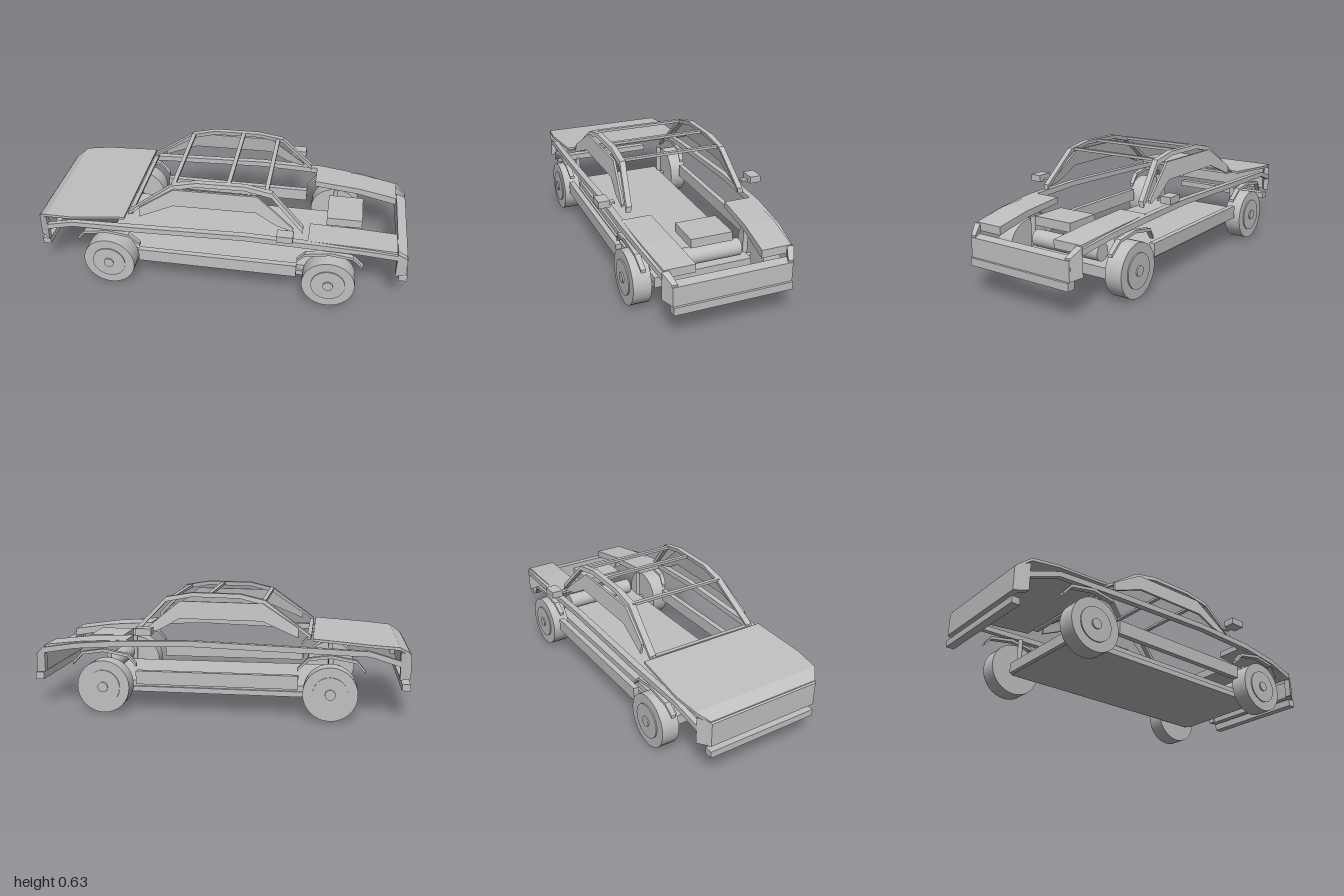
import * as THREE from 'three';

const grey = new THREE.MeshStandardMaterial({ color: 0xc0c0c0 });
grey.name = 'plain grey';

// Lofts a rectangular section along x. Station: [x, y0, y1, z0, z1]; lean tilts z inwards with height.
function loft(stations, side = 1, lean = 0) {
  const rings = stations.map(([x, y0, y1, z0, z1]) => {
    const [a, b] = side > 0 ? [z0, z1] : [-z1, -z0];
    const p = (y, z) => [x, y, z - side * lean * (y - 0.41)];
    return [p(y0, a), p(y0, b), p(y1, b), p(y1, a)];
  });
  const pos = [];
  const quad = (a, b, c, d) => pos.push(...a, ...b, ...c, ...a, ...c, ...d);
  for (let i = 0; i < rings.length - 1; i++) {
    const r = rings[i], n = rings[i + 1];
    for (let k = 0; k < 4; k++) quad(r[k], n[k], n[(k + 1) % 4], r[(k + 1) % 4]);
  }
  const [a, b, c, d] = rings[0];
  quad(a, b, c, d);
  const [e, f, g, h] = rings[rings.length - 1];
  quad(h, g, f, e);
  const geo = new THREE.BufferGeometry();
  geo.setAttribute('position', new THREE.Float32BufferAttribute(pos, 3));
  geo.computeVertexNormals();
  return geo;
}

export function createModel() {
  const car = new THREE.Group();
  car.name = 'car';
  const add = (name, geo, x = 0, y = 0, z = 0) => {
    const mesh = new THREE.Mesh(geo, grey);
    mesh.name = name;
    mesh.position.set(x, y, z);
    car.add(mesh);
    return mesh;
  };
  const box = (name, x0, x1, y0, y1, z0, z1) =>
    add(name, new THREE.BoxGeometry(x1 - x0, y1 - y0, z1 - z0), (x0 + x1) / 2, (y0 + y1) / 2, (z0 + z1) / 2);
  const rodZ = (name, r, length, x, y, z) =>
    add(name, new THREE.CylinderGeometry(r, r, length, 32).rotateX(Math.PI / 2), x, y, z);

  // Floor pan: long chassis plate and wider skirt
  box('chassisPlate', -0.65, 0.67, 0.092, 0.148, -0.265, 0.265);
  box('floorSkirt', -0.63, 0.65, 0.09, 0.118, -0.278, 0.278);

  // Engine and drive tube
  box('engine', 0.555, 0.745, 0.318, 0.365, -0.11, 0.11);
  rodZ('driveTube', 0.045, 0.42, 0.625, 0.205, 0);

  // Boot lid
  add('bootLid', loft([
    [-0.99, 0.335, 0.35, -0.31, 0.31],
    [-0.935, 0.37, 0.385, -0.355, 0.355],
    [-0.8, 0.382, 0.396, -0.37, 0.37],
    [-0.5, 0.405, 0.418, -0.355, 0.355],
  ]));

  // Nose, tail and bumpers
  add('nosePanel', loft([[0.94, 0.195, 0.292, -0.33, 0.33], [0.99, 0.186, 0.285, -0.305, 0.305]]));
  add('tailPanel', loft([[-0.998, 0.215, 0.34, -0.308, 0.308], [-0.965, 0.215, 0.36, -0.33, 0.33]]));
  box('frontBumper', 0.955, 1, 0.145, 0.185, -0.305, 0.305);
  box('rearBumper', -1, -0.957, 0.15, 0.185, -0.308, 0.308);

  // Roof cross members
  for (const [x, y] of [[-0.48, 0.41], [-0.245, 0.594], [0.043, 0.623], [0.24, 0.604]]) {
    const z = 0.3 - 0.16 * (y - 0.41);
    box('roofCrossBar', x - 0.011, x + 0.011, y - 0.007, y + 0.007, -z, z);
  }

  for (const s of [1, -1]) {
    const span = (a, b) => (s > 0 ? [a, b] : [-b, -a]);

    // Corner returns of nose and tail
    add('noseCorner', loft([[0.932, 0.197, 0.34, 0.3, 0.337], [0.985, 0.19, 0.295, 0.28, 0.308]], s));
    add('tailCorner', loft([[-0.985, 0.215, 0.345, 0.285, 0.315], [-0.94, 0.215, 0.36, 0.32, 0.352]], s));

    // Sill between the wheels
    box('sill', -0.43, 0.42, 0.155, 0.226, ...span(0.345, 0.375));

    // Side rail along the waist
    add('sideRail', loft([
      [-0.94, 0.285, 0.315, 0.325, 0.352],
      [-0.79, 0.335, 0.363, 0.345, 0.372],
      [-0.43, 0.347, 0.377, 0.35, 0.383],
      [0.15, 0.365, 0.395, 0.352, 0.385],
      [0.5, 0.354, 0.385, 0.35, 0.383],
      [0.75, 0.335, 0.363, 0.335, 0.365],
      [0.935, 0.3, 0.33, 0.31, 0.337],
    ], s));

    // Front wing top
    add('frontWing', loft([
      [0.47, 0.355, 0.387, 0.205, 0.36],
      [0.72, 0.337, 0.372, 0.19, 0.35],
      [0.93, 0.303, 0.345, 0.168, 0.325],
    ], s));

    // Roof side rail with its pillars
    add('roofRail', loft([
      [-0.49, 0.41, 0.425, 0.283, 0.318],
      [-0.25, 0.575, 0.6, 0.285, 0.32],
      [-0.12, 0.607, 0.63, 0.295, 0.325],
      [0.13, 0.612, 0.634, 0.295, 0.325],
      [0.27, 0.585, 0.61, 0.295, 0.325],
      [0.44, 0.405, 0.435, 0.297, 0.325],
    ], s, 0.16));

    // Side screen below the roof rail
    add('sideScreen', loft([
      [-0.425, 0.415, 0.465, 0.32, 0.332],
      [-0.24, 0.495, 0.585, 0.32, 0.332],
      [0.195, 0.5, 0.59, 0.32, 0.332],
      [0.3, 0.44, 0.505, 0.32, 0.332],
      [0.39, 0.415, 0.43, 0.32, 0.332],
    ], s, 0.16));

    // Door mirror
    box('mirror', 0.315, 0.398, 0.43, 0.466, ...span(0.391, 0.452));
    box('mirrorArm', 0.34, 0.37, 0.43, 0.442, ...span(0.357, 0.393));

    for (const x of [-0.594, 0.592]) {
      // Faceted wheel arch
      add('wheelArch', loft([
        [x - 0.173, 0.248, 0.264, 0.345, 0.37],
        [x - 0.13, 0.3, 0.316, 0.352, 0.38],
        [x, 0.324, 0.34, 0.355, 0.383],
        [x + 0.115, 0.307, 0.322, 0.352, 0.38],
        [x + 0.171, 0.248, 0.264, 0.345, 0.37],
      ], s));

      // Wheel, rim disc, hub and suspension strut
      rodZ('wheel', 0.14, 0.094, x, 0.14, s * 0.35);
      rodZ('rim', 0.09, 0.01, x, 0.14, s * 0.398);
      rodZ('hub', 0.027, 0.016, x, 0.14, s * 0.402);
      add('strut', new THREE.CylinderGeometry(0.013, 0.013, 0.165, 16), x, 0.2225, s * 0.27);
    }
  }

  // Axles
  for (const x of [-0.594, 0.592]) rodZ('axle', 0.008, 0.62, x, 0.125, 0);

  return car;
}
